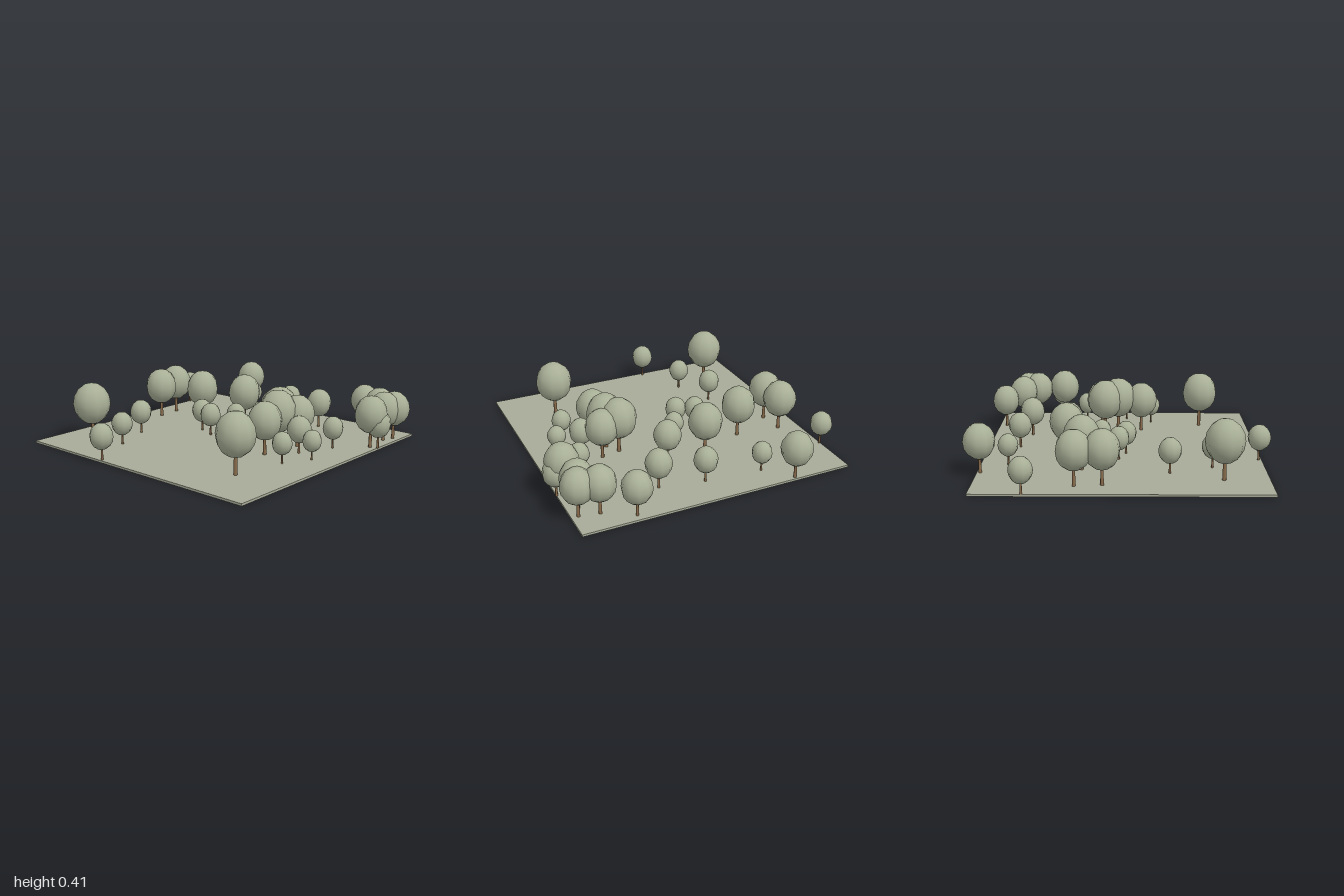
import * as THREE from 'three';

// each tree: x, z, canopy radius
const TREES = [
  [-0.537, -0.89, 0.104], [-0.382, -0.73, 0.067], [-0.925, -0.587, 0.075], [0.003, -0.695, 0.079],
  [0.302, -0.64, 0.088], [0.542, -0.86, 0.098], [0.735, -0.75, 0.106], [0.865, -0.725, 0.106],
  [0.837, -0.645, 0.108], [0.86, -0.445, 0.112], [0.91, -0.46, 0.083], [-0.782, -0.283, 0.114],
];
const MORE_TREES = [
  [-0.766, -0.112, 0.114], [-0.473, -0.25, 0.116], [-0.163, -0.363, 0.115], [0.11, -0.358, 0.093],
  [-0.045, -0.133, 0.067], [-0.26, -0.016, 0.072], [-0.136, 0.032, 0.072], [-0.542, 0.31, 0.075],
  [-0.67, 0.64, 0.126], [-0.43, 0.588, 0.071], [-0.268, 0.908, 0.077], [0.563, 0.577, 0.127],
  [0.638, 0.22, 0.066], [0.734, 0.037, 0.063], [0.686, -0.262, 0.069], [0.585, -0.027, 0.08],
  [0.483, -0.145, 0.112], [0.354, -0.117, 0.125], [0.41, -0.025, 0.126], [0.436, 0.143, 0.113],
];

export function createModel() {
  const group = new THREE.Group();
  const material = (name, color) => new THREE.MeshStandardMaterial({ name, color });
  const grass = material('grass', 0xa7ab97);
  const leaves = material('leaves', 0xa9b097);
  const bark = material('bark', 0x8a6c4c);

  // thin ground slab
  const top = 0.015;
  const ground = new THREE.Mesh(new THREE.BoxGeometry(1.84, top, 1.84), grass);
  ground.name = 'ground';
  ground.position.set(-0.01, top / 2, 0.008);
  group.add(ground);

  // unit tree: every part scales with the canopy radius
  const canopyGeometry = new THREE.SphereGeometry(1, 10, 8).scale(1, 1.13, 1).translate(0, 2, 0);
  const trunkGeometry = new THREE.CylinderGeometry(0.08, 0.105, 1.2, 8).translate(0, 0.6, 0);

  [...TREES, ...MORE_TREES].forEach(([x, z, r], i) => {
    const tree = new THREE.Group();
    tree.name = `tree${i + 1}`;
    const trunk = new THREE.Mesh(trunkGeometry, bark);
    trunk.name = 'trunk';
    const canopy = new THREE.Mesh(canopyGeometry, leaves);
    canopy.name = 'canopy';
    tree.add(trunk, canopy);
    tree.position.set(x, top, z);
    tree.scale.setScalar(r);
    tree.rotation.y = i * 2.4;
    group.add(tree);
  });

  return group;
}
